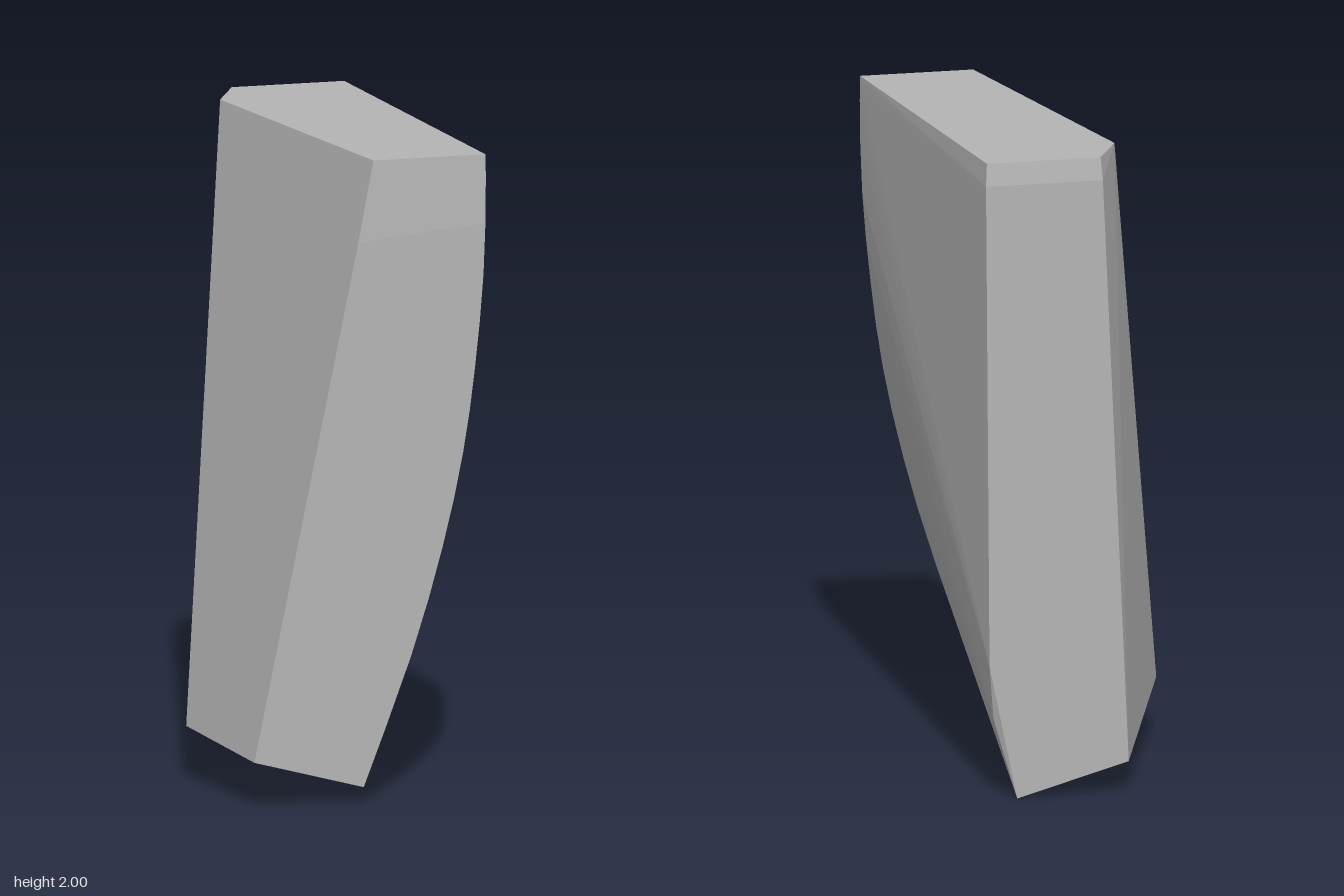
import * as THREE from 'three';
import { ConvexGeometry } from 'three/addons/geometries/ConvexGeometry.js';

export function createModel() {
  const group = new THREE.Group();
  const stone = new THREE.MeshStandardMaterial({ color: 0xb4b4b4 });
  stone.name = 'stone grey';

  const v = (x, y, z) => new THREE.Vector3(x, y, z);

  // Bowed edge of the front face, leaning back slightly near the top
  const bow = new THREE.SplineCurve([
    [0.02, 0.05], [0.17, 0.45], [0.27, 0.785], [0.335, 1.075],
    [0.373, 1.34], [0.4, 1.63], [0.41, 1.92], [0.41, 2],
  ].map(([x, y]) => new THREE.Vector2(x, y)));
  const frontZ = (y) => 0.605 - 0.015 * Math.max(0, (y - 1.75) / 0.25);
  const bowedEdge = bow.getPoints(14).map((p) => v(p.x, p.y, frontZ(p.y)));

  // Straight edge of the front face
  const straightEdge = [v(0.055, 2, 0.59), v(0.003, 1.75, 0.605), v(-0.327, 0.145, 0.605)];

  // Ridge between the two slanted faces
  const ridge = [v(-0.148, 2, -0.425), v(-0.412, 0.172, 0.135)];

  // Back face with its bevelled top and chipped lower corner
  const back = [
    v(-0.064, 2, -0.595), v(0.293, 2, -0.595),
    v(-0.069, 1.93, -0.605), v(0.298, 1.93, -0.605),
    v(0.287, 0.42, -0.605), v(0.27, 0.25, -0.585),
    v(0.2, 0.065, -0.5),
    v(0.2, 0, -0.605), v(-0.15, 0.098, -0.605),
  ];

  const block = new THREE.Mesh(
    new ConvexGeometry([...bowedEdge, ...straightEdge, ...ridge, ...back]), stone);
  block.name = 'stoneBlock';
  group.add(block);
  return group;
}
